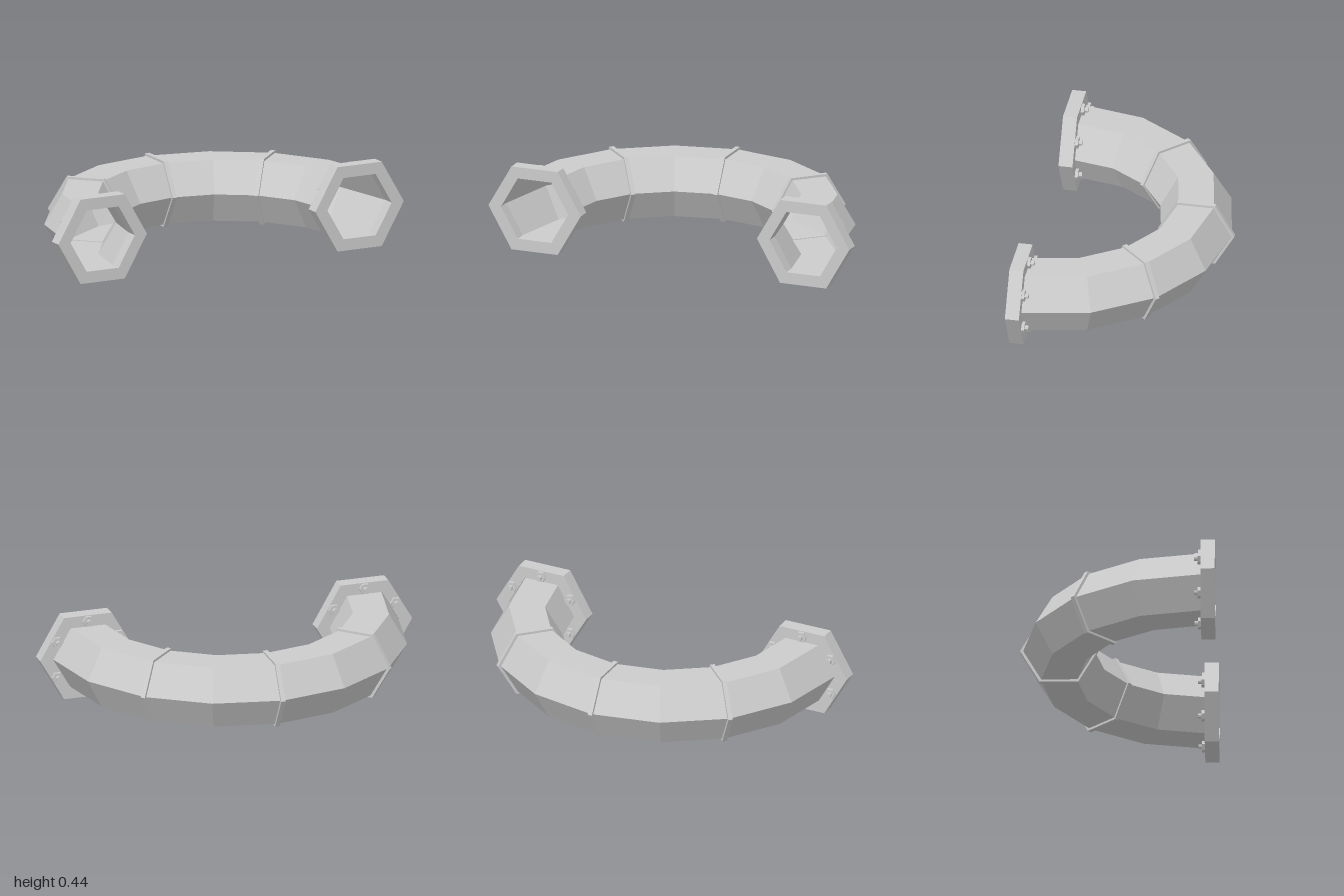
import * as THREE from 'three';

const R = 0.744;       // bend radius of the pipe centreline
const MID_Y = 0.227;   // height of the centreline
const BEND_Z = 0.44;   // z of the bend centre
const PIPE = 0.185;    // hexagon radius of the pipe

const material = new THREE.MeshStandardMaterial({
  color: 0xcccccc, flatShading: true, side: THREE.DoubleSide,
});

// Corners of a hexagon with a flat top, counter-clockwise
function hexPoints(radius) {
  return Array.from({ length: 6 }, (_, i) => {
    const a = (i * Math.PI) / 3;
    return new THREE.Vector2(radius * Math.cos(a), radius * Math.sin(a));
  });
}

// Hexagonal plate with a hexagonal hole, centred on its thickness along z
function hexRing(outer, inner, depth) {
  const shape = new THREE.Shape(hexPoints(outer));
  shape.holes.push(new THREE.Path(hexPoints(inner).reverse()));
  const geometry = new THREE.ExtrudeGeometry(shape, { depth, bevelEnabled: false });
  return geometry.translate(0, 0, -depth / 2);
}

function addMesh(parent, name, geometry, x = 0, y = 0, z = 0) {
  const mesh = new THREE.Mesh(geometry, material);
  mesh.name = name;
  mesh.position.set(x, y, z);
  parent.add(mesh);
  return mesh;
}

// Flange with six nuts and studs on its rear face
function makeFlange(name) {
  const flange = new THREE.Group();
  flange.name = name;
  addMesh(flange, 'flangePlate', hexRing(0.256, 0.186, 0.073));
  const nut = new THREE.CylinderGeometry(0.03, 0.03, 0.016, 6).rotateX(Math.PI / 2);
  const stud = new THREE.CylinderGeometry(0.013, 0.013, 0.034, 8).rotateX(Math.PI / 2);
  for (let i = 0; i < 6; i++) {
    const a = Math.PI / 6 + (i * Math.PI) / 3;
    const x = 0.192 * Math.cos(a);
    const y = 0.192 * Math.sin(a);
    addMesh(flange, 'nut', nut, x, y, -0.0445).rotation.z = a;
    addMesh(flange, 'stud', stud, x, y, -0.0535);
  }
  return flange;
}

export function createModel() {
  const model = new THREE.Group();
  model.name = 'pipeBend';

  // Hollow hexagonal pipe swept through a half circle in eight straight pieces
  const profile = hexPoints(PIPE).map((p) => new THREE.Vector2(p.x + R, p.y));
  profile.push(profile[0].clone());
  const pipe = new THREE.LatheGeometry(profile, 8, Math.PI / 2, Math.PI);
  addMesh(model, 'pipe', pipe, 0, MID_Y, BEND_Z);

  // Joint bands at the middle and at 45 degrees to each side
  const band = hexRing(0.199, 0.181, 0.024);
  for (const a of [-Math.PI / 4, 0, Math.PI / 4]) {
    // Plate axis turned from z onto the tangent of the bend
    const mesh = addMesh(model, 'jointBand', band,
      R * Math.sin(a), MID_Y, BEND_Z - R * Math.cos(a));
    mesh.rotation.y = Math.PI / 2 - a;
  }

  // Flanges at both open ends
  for (const side of [-1, 1]) {
    const flange = makeFlange(side > 0 ? 'leftFlange' : 'rightFlange');
    flange.position.set(side * R, MID_Y, 0.4685);
    model.add(flange);
  }
  return model;
}
